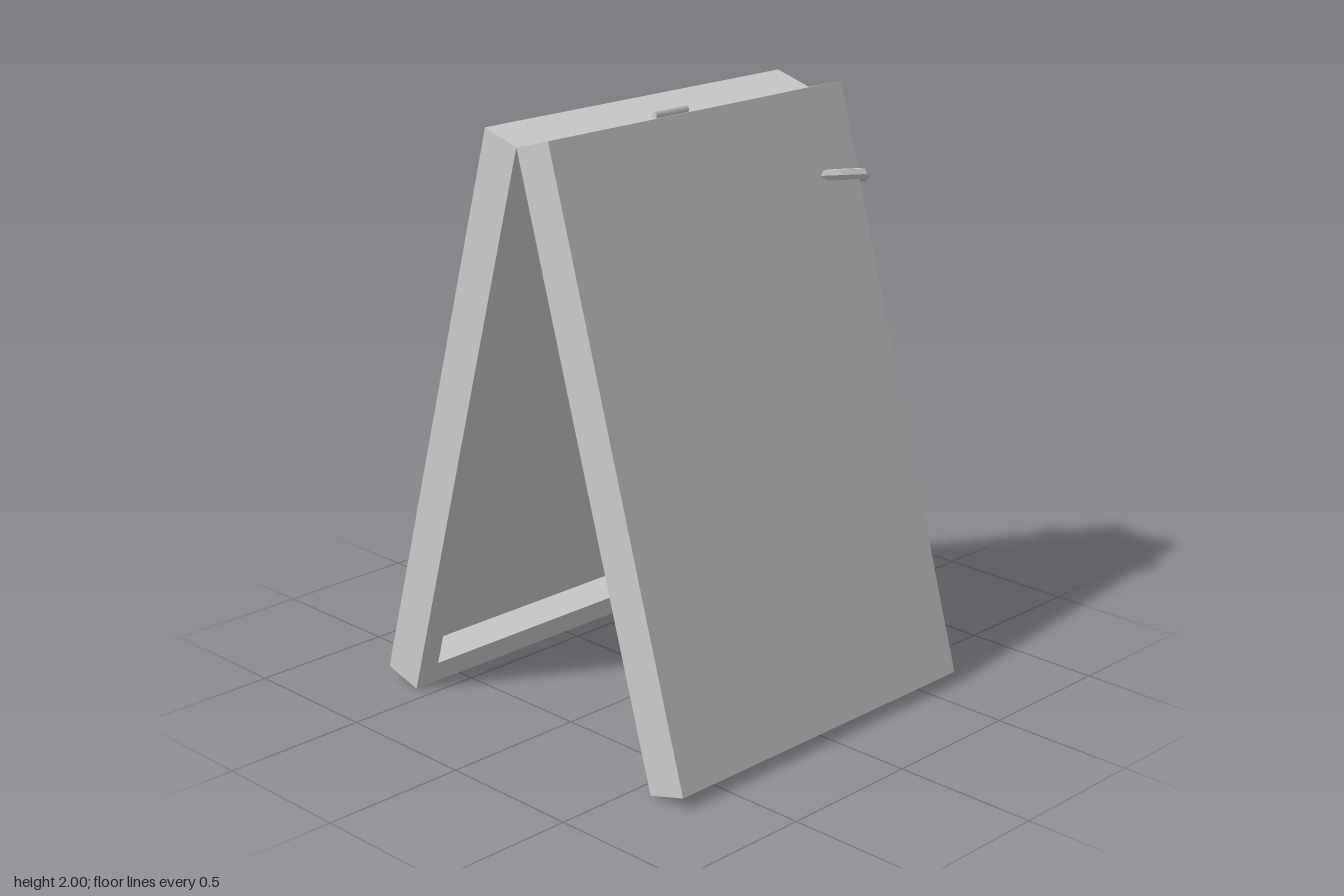
import * as THREE from 'three';
import { RoundedBoxGeometry } from 'three/addons/geometries/RoundedBoxGeometry.js';

const WIDTH = 1.32, LENGTH = 2.04, FRAME = 0.112, PANEL = 0.035, RIM = 0.08;
const TILT = 0.28, PIVOT_Y = 1.96, CENTRE_X = -0.03;

export function createModel() {
  const model = new THREE.Group();
  model.name = 'sandwichBoard';
  const grey = new THREE.MeshStandardMaterial({ color: 0xcccccc });
  grey.name = 'light grey';
  const greyFlat = grey;

  const add = (parent, name, geometry, x = 0, y = 0, z = 0) => {
    const mesh = new THREE.Mesh(geometry, greyFlat);
    mesh.name = name;
    mesh.position.set(x, y, z);
    parent.add(mesh);
    return mesh;
  };

  // Rectangular outline measured from the top edge, shrunk by an inset
  const outline = (PathType, inset) => {
    const x = WIDTH / 2 - inset, top = -inset, bottom = -LENGTH + inset;
    return new PathType([[-x, bottom], [x, bottom], [x, top], [-x, top]]
      .map(([px, py]) => new THREE.Vector2(px, py)));
  };

  // Each leaf: an open frame facing inwards, closed by a thin outer panel
  for (const [name, turn] of [['frontLeaf', 0], ['backLeaf', Math.PI]]) {
    const side = new THREE.Group();
    side.name = name;
    side.position.set(CENTRE_X, PIVOT_Y, 0);
    side.rotation.y = turn;
    const leaf = new THREE.Group();
    leaf.name = name + 'Board';
    leaf.rotation.x = -TILT;
    const shape = outline(THREE.Shape, 0);
    shape.holes.push(outline(THREE.Path, RIM));
    add(leaf, 'frame', new THREE.ExtrudeGeometry(shape, { depth: FRAME, bevelEnabled: false }));
    add(leaf, 'panel', new THREE.BoxGeometry(WIDTH, LENGTH, PANEL), 0, -LENGTH / 2, FRAME + PANEL / 2);
    side.add(leaf);
    model.add(side);
  }

  // Hinge pin along the ridge
  const pin = new THREE.CylinderGeometry(0.01, 0.01, 0.146, 8);
  pin.rotateZ(Math.PI / 2).scale(1, 1.5, 1);
  add(model, 'hinge', pin, CENTRE_X, 1.97, 0);

  // Closed rope through both leaves and around their side edge
  const points = [
    [0.40, 1.675, 0], [0.42, 1.70, 0.085], [0.44, 1.72, 0.20], [0.52, 1.715, 0.232],
    [0.62, 1.705, 0.25], [0.658, 1.693, 0.232], [0.667, 1.65, 0.13], [0.66, 1.63, 0.04],
    [0.672, 1.65, -0.08], [0.652, 1.695, -0.235], [0.62, 1.708, -0.257],
    [0.52, 1.715, -0.236], [0.44, 1.72, -0.20], [0.42, 1.70, -0.085],
  ].map(p => new THREE.Vector3(...p));
  const path = new THREE.CatmullRomCurve3(points, true);
  path.getUtoTmapping = u => u; // keep rings on the path points
  const rope = new THREE.TubeGeometry(path, points.length, 0.02, 6, true).toNonIndexed();
  rope.computeVertexNormals(); // faceted
  add(model, 'rope', rope);

  // Padlock hanging from the rope
  const lock = new THREE.Group();
  lock.name = 'padlock';
  lock.position.set(0.66, 1.556, 0.037);
  lock.rotation.x = 0.2;
  add(lock, 'lockBody', new RoundedBoxGeometry(0.03, 0.085, 0.085, 2, 0.008));
  add(lock, 'shackle', new THREE.TorusGeometry(0.026, 0.006, 6, 14), 0, 0.064, 0);
  model.add(lock);

  return model;
}
